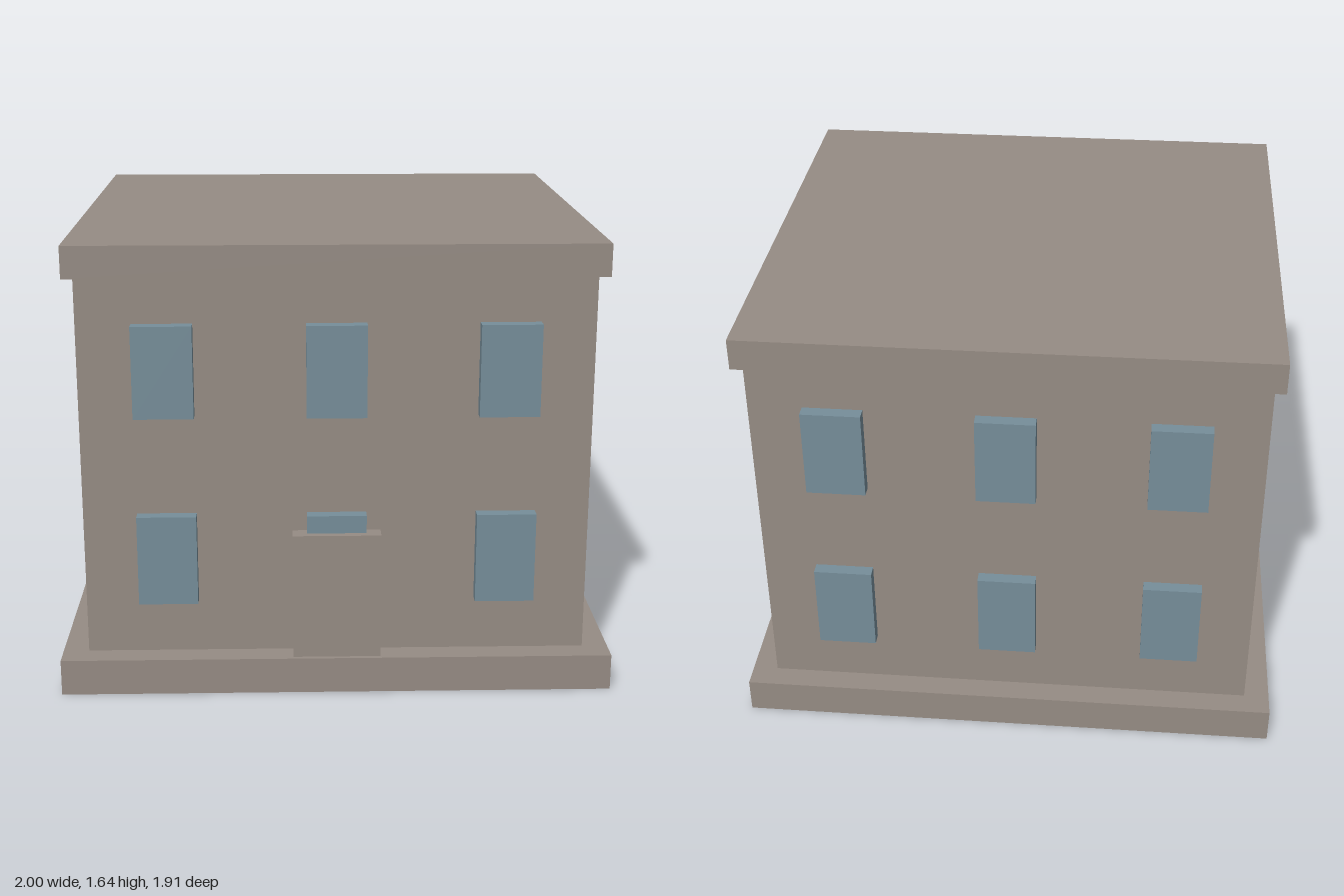
import * as THREE from 'three';

const stone = new THREE.MeshStandardMaterial({ color: 0x968c84 });
stone.name = 'stone';
const glass = new THREE.MeshStandardMaterial({ color: 0x768e9a });
glass.name = 'glass';

// Box given its size and the height of its underside
function block(name, material, w, h, d, x, bottom, z) {
  const mesh = new THREE.Mesh(new THREE.BoxGeometry(w, h, d), material);
  mesh.name = name;
  mesh.position.set(x, bottom + h / 2, z);
  return mesh;
}

export function createModel() {
  const house = new THREE.Group();
  house.name = 'house';

  // Plinth, walls and overhanging flat roof
  house.add(
    block('plinth', stone, 2, 0.133, 1.91, 0, 0, 0),
    block('walls', stone, 1.814, 1.392, 1.734, 0, 0.133, 0),
    block('roof', stone, 1.886, 0.115, 1.806, 0, 1.525, 0)
  );

  // Door slab, standing just clear of the front wall
  house.add(block('door', stone, 0.316, 0.467, 0.061, 0, 0.133, 0.909));

  // Two rows of three windows on the front and back
  const windows = new THREE.Group();
  windows.name = 'windows';
  for (const side of [1, -1])
    for (const bottom of [0.333, 1.028])
      for (const x of [-0.607, 0, 0.607])
        windows.add(block('window', glass, 0.213, 0.332, 0.048, x, bottom, side * 0.889));
  house.add(windows);

  return house;
}
